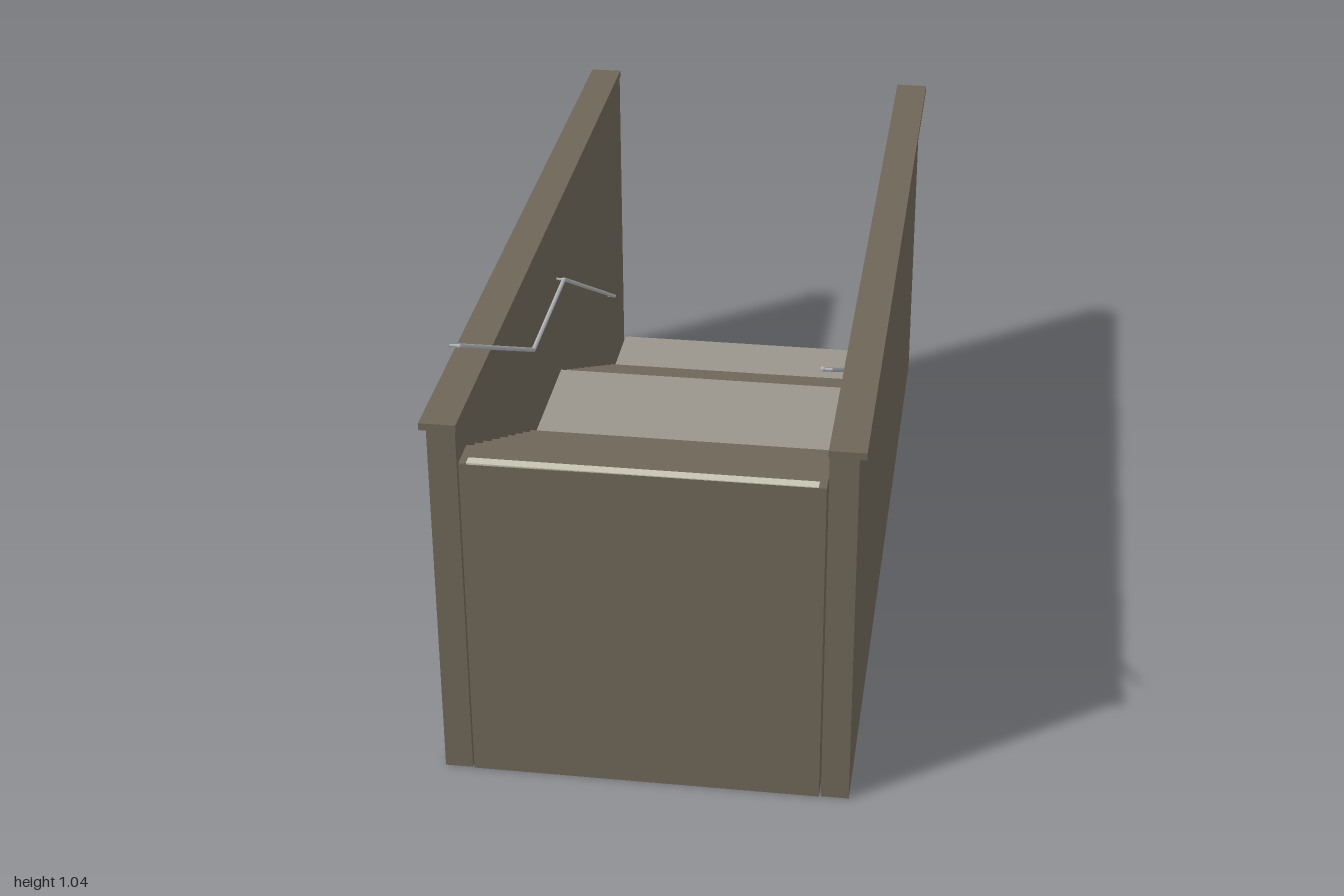
import * as THREE from 'three';

const mat = (color) => new THREE.MeshStandardMaterial({ color });
const stone = mat(0x6e6658);
const paving = mat(0x99948c);
const stripMat = mat(0xc8c4b4);
const steel = mat(0xb0b2b4);

const STEPS = 9;
const RISE = 0.03825;
const RUN = 0.0765;
const HALF = 0.376;

// Box given by its minimum and maximum corners
function box(name, material, x0, x1, y0, y1, z0, z1) {
  const mesh = new THREE.Mesh(new THREE.BoxGeometry(x1 - x0, y1 - y0, z1 - z0), material);
  mesh.position.set((x0 + x1) / 2, (y0 + y1) / 2, (z0 + z1) / 2);
  mesh.name = name;
  return mesh;
}

// Round bar between two points
function bar(name, a, b, radius) {
  const dir = b.clone().sub(a);
  const mesh = new THREE.Mesh(new THREE.CylinderGeometry(radius, radius, dir.length(), 10), steel);
  mesh.position.copy(a).add(b).multiplyScalar(0.5);
  mesh.quaternion.setFromUnitVectors(new THREE.Vector3(0, 1, 0), dir.normalize());
  mesh.name = name;
  return mesh;
}

// Solid steps rising toward +z, each with a light strip at the back of its tread
function flight(name, zStart, yStart) {
  const group = new THREE.Group();
  group.name = name;
  for (let i = 0; i < STEPS; i++) {
    const z0 = zStart + i * RUN;
    const top = yStart + (i + 1) * RISE;
    group.add(box('step', stone, -HALF, HALF, 0, top, z0, z0 + RUN));
    group.add(box('treadStrip', stripMat, -0.36, 0.36, top - 0.002, top + 0.002, z0 + RUN - 0.023, z0 + RUN));
  }
  return group;
}

// Handrail following both flights, with wall brackets
function handrail(side) {
  const group = new THREE.Group();
  group.name = side > 0 ? 'leftHandrail' : 'rightHandrail';
  const pts = [[0.29, -0.75], [0.67, -0.065], [0.67, 0.31], [1.033, 0.997]]
    .map(([y, z]) => new THREE.Vector3(side * 0.362, y, z));
  pts.forEach((p, i) => {
    if (i > 0) {
      group.add(bar('rail', pts[i - 1], p, 0.005));
    }
    const joint = new THREE.Mesh(new THREE.SphereGeometry(0.005, 10, 8), steel);
    joint.position.copy(p);
    joint.name = 'railJoint';
    group.add(joint);
    group.add(bar('railBracket', p, new THREE.Vector3(side * 0.381, p.y, p.z), 0.003));
  });
  return group;
}

export function createModel() {
  const model = new THREE.Group();
  model.name = 'walledStaircase';

  // Landings and flights
  const z1 = -0.7535;
  const z2 = z1 + STEPS * RUN;
  const z3 = 1 - STEPS * RUN;
  const landingTop = RISE * (STEPS + 2);
  model.add(box('lowerLanding', paving, -HALF, HALF, 0, RISE, -1, z1));
  model.add(flight('lowerFlight', z1, RISE));
  model.add(box('middleLanding', paving, -HALF, HALF, 0, landingTop, z2, z3));
  model.add(flight('upperFlight', z3, landingTop));

  // Side walls with copings, and handrails
  for (const side of [-1, 1]) {
    const wall = box('sideWall', stone, -0.03, 0.03, 0, 0.836, -0.998, 0.998);
    wall.position.x = side * 0.41;
    const coping = box('wallCoping', stone, -0.0385, 0.0385, 0.836, 0.852, -1, 1);
    coping.position.x = side * 0.4165;
    model.add(wall, coping, handrail(side));
  }
  return model;
}
